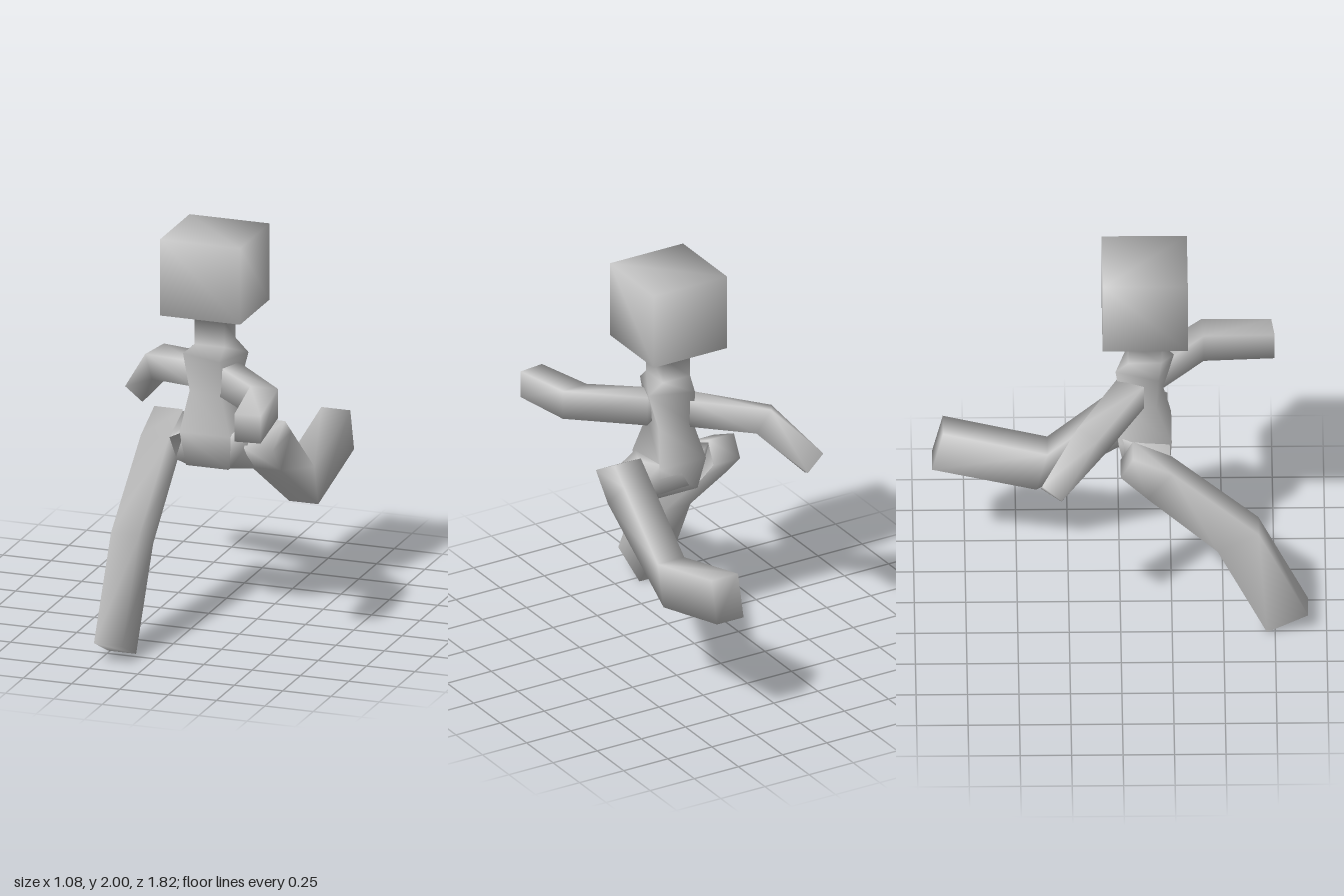
import * as THREE from 'three';

const material = new THREE.MeshStandardMaterial({ color: 0xcccccc });

// Skin a chain of four-cornered rings, sharing corners so the shading is smooth.
function loft(name, rings) {
  const points = rings.flat();
  const index = [];
  const quad = (a, b, c, d) => index.push(a, b, c, a, c, d);
  for (let r = 0; r < rings.length - 1; r++) {
    for (let i = 0; i < 4; i++) {
      const j = (i + 1) % 4, k = r * 4;
      quad(k + i, k + j, k + 4 + j, k + 4 + i);
    }
  }
  const e = points.length - 4;
  quad(3, 2, 1, 0);
  quad(e, e + 1, e + 2, e + 3);

  // Turn the faces outward if the enclosed volume comes out negative.
  const v = points.map((p) => new THREE.Vector3(...p));
  let volume = 0;
  for (let t = 0; t < index.length; t += 3) {
    volume += v[index[t]].dot(v[index[t + 1]].clone().cross(v[index[t + 2]]));
  }
  if (volume < 0) index.reverse();

  const geometry = new THREE.BufferGeometry().setFromPoints(v);
  geometry.setIndex(index);
  geometry.computeVertexNormals();
  const mesh = new THREE.Mesh(geometry, material);
  mesh.name = name;
  return mesh;
}

// Horizontal rectangle, turned about the vertical axis.
function level(y, cx, cz, hx, hz, turn = 0) {
  const c = Math.cos(turn), s = Math.sin(turn);
  return [[-1, -1], [1, -1], [1, 1], [-1, 1]].map(([i, j]) => {
    const x = i * hx, z = j * hz;
    return [cx + x * c - z * s, y, cz + x * s + z * c];
  });
}

// Leg: each station gives the front and back edge as [z, y].
function leg(name, x0, x1, stations) {
  return loft(name, stations.map(([[za, ya], [zb, yb]]) =>
    [[x0, ya, za], [x0, yb, zb], [x1, yb, zb], [x1, ya, za]]));
}

export function createModel() {
  const group = new THREE.Group();

  // Torso, neck and head as one continuous skin; the chest is twisted
  group.add(loft('torsoNeckAndHead', [
    level(0.83, 0.08, 0.13, 0.11, 0.11),
    level(1.0, 0.07, 0.12, 0.13, 0.13),
    level(1.19, 0.07, 0.11, 0.09, 0.085, 0.2),
    level(1.38, 0.08, 0.12, 0.115, 0.11, 0.35),
    level(1.44, 0.077, 0.12, 0.077, 0.08),
    level(1.57, 0.077, 0.12, 0.077, 0.08),
    level(1.61, 0.075, 0.12, 0.207, 0.207),
    level(2.0, 0.075, 0.12, 0.207, 0.207),
  ]));

  // Pelvis bridging the two legs: [x, then four corners as z, y]
  const pelvis = [
    [-0.12, [0.24, 0.96], [0.06, 1.04], [0.01, 0.94], [0.14, 0.82]],
    [-0.04, [0.24, 1.0], [0.0, 1.02], [0.02, 0.86], [0.24, 0.84]],
    [0.19, [0.24, 1.0], [0.0, 1.02], [0.0, 0.86], [0.22, 0.83]],
    [0.28, [0.22, 0.96], [0.06, 1.04], [-0.02, 0.97], [0.12, 0.81]],
  ];
  group.add(loft('pelvis', pelvis.map(([x, ...c]) => c.map(([z, y]) => [x, y, z]))));

  // Legs in full stride
  group.add(leg('rightLeg', -0.26, -0.115, [
    [[0.06, 1.05], [0.0, 0.94]],
    [[0.25, 0.96], [0.13, 0.81]],
    [[0.67, 0.59], [0.47, 0.49]],
    [[0.91, 0.1], [0.71, 0.0]],
  ]));
  group.add(leg('leftLeg', 0.267, 0.417, [
    [[0.06, 1.05], [0.235, 0.95]],
    [[-0.03, 0.97], [0.12, 0.815]],
    [[-0.35, 0.69], [-0.405, 0.48]],
    [[-0.857, 0.82], [-0.91, 0.605]],
  ]));

  // Right arm swinging back and down
  group.add(loft('rightArm', [
    [[-0.03, 1.32, 0.115], [0.03, 1.33, -0.01], [0.03, 1.19, -0.01], [-0.03, 1.19, 0.115]],
    [[-0.37, 1.25, -0.11], [-0.31, 1.28, -0.21], [-0.25, 1.15, -0.17], [-0.32, 1.14, -0.07]],
    [[-0.54, 1.01, -0.29], [-0.5, 1.07, -0.385], [-0.41, 0.99, -0.39], [-0.45, 0.94, -0.29]],
  ]));

  // Left arm reaching forward
  const leftArm = [
    [[0.2, 0.11], [0.1, 0.18], 1.19, 1.34],
    [[0.505, 0.4], [0.365, 0.41], 1.18, 1.33],
    [[0.54, 0.74], [0.41, 0.755], 1.16, 1.3],
  ];
  group.add(loft('leftArm', leftArm.map(([[xo, zo], [xi, zi], low, high]) =>
    [[xo, low, zo], [xi, low, zi], [xi, high, zi], [xo, high, zo]])));

  return group;
}
